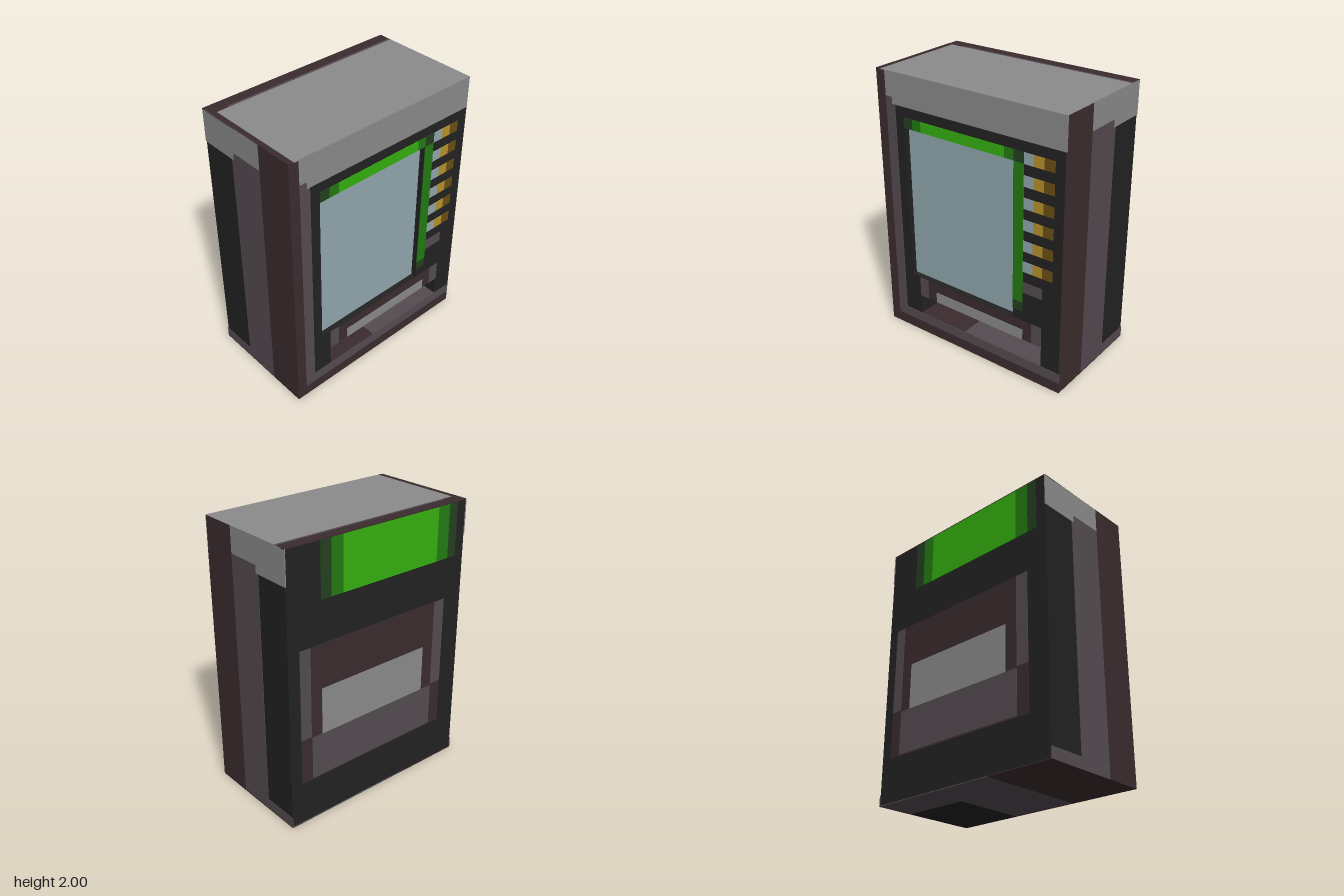
import * as THREE from 'three';

const paint = (name, color) => {
  const m = new THREE.MeshStandardMaterial({ color });
  m.name = name;
  return m;
};

export function createModel() {
  const black = paint('black', 0x222222);
  const brown = paint('darkBrown', 0x3b2c2e);
  const mauve = paint('mauveGrey', 0x544b50);
  const grey = paint('grey', 0x8b8b8b);
  const green = paint('brightGreen', 0x35b00f);
  const midGreen = paint('midGreen', 0x237a12);
  const darkGreen = paint('darkGreen', 0x23401f);
  const glass = paint('paleBlue', 0x92a8ae);
  const gold = paint('gold', 0xb8922a);
  const darkGold = paint('darkGold', 0x6a5012);

  const W = 0.77, H = 2, D = 0.42, T = 0.004; // half width, height, half depth, plate thickness
  const model = new THREE.Group();
  model.name = 'vendingMachine';

  const group = (name) => {
    const g = new THREE.Group();
    g.name = name;
    model.add(g);
    return g;
  };
  const box = (parent, name, mat, x0, x1, y0, y1, z0, z1) => {
    const m = new THREE.Mesh(new THREE.BoxGeometry(x1 - x0, y1 - y0, z1 - z0), mat);
    m.position.set((x0 + x1) / 2, (y0 + y1) / 2, (z0 + z1) / 2);
    m.name = name;
    parent.add(m);
    return m;
  };
  // Thin painted plates on the front and back
  const front = (p, name, mat, x0, x1, y0, y1) => box(p, name, mat, x0, x1, y0, y1, D - T - 0.002, D);
  const back = (p, name, mat, x0, x1, y0, y1, lift = 0) => box(p, name, mat, x0, x1, y0, y1, -D - lift, -D + T + 0.002);

  // Cabinet: solid rear half, front half cut for the display and the tray
  const cabinet = group('cabinet');
  const zMid = -0.04;
  box(cabinet, 'rearBody', black, -W + T, W - T, T, H - T, -D + T, zMid);
  const rect = (P, x0, x1, y0, y1) => {
    const p = new P();
    p.moveTo(x0, y0);
    p.lineTo(x1, y0);
    p.lineTo(x1, y1);
    p.lineTo(x0, y1);
    p.closePath();
    return p;
  };
  const outline = rect(THREE.Shape, -W + T, W - T, T, H - T);
  outline.holes.push(rect(THREE.Path, -0.54, 0.38, 0.468, 1.62), rect(THREE.Path, -0.465, 0.615, 0.155, 0.464));
  const shell = new THREE.Mesh(new THREE.ExtrudeGeometry(outline, { depth: D - T - zMid, bevelEnabled: false }), black);
  shell.position.z = zMid;
  shell.name = 'frontBody';
  cabinet.add(shell);

  // Front frame
  const frame = group('frontFrame');
  front(frame, 'frameSide', brown, -W, -0.695, 0, H);
  front(frame, 'frameBottom', brown, -0.695, W, 0, 0.08);
  front(frame, 'innerFrameSide', mauve, -0.695, -0.615, 0.08, 1.77);
  front(frame, 'innerFrameCorner', mauve, -0.695, -0.64, 1.77, 1.82);
  front(frame, 'innerFrameBottom', mauve, -0.615, W, 0.08, 0.155);
  front(frame, 'frontSign', grey, -0.64, W, 1.77, H);
  front(frame, 'frontSignEnd', grey, -0.695, -0.64, 1.82, H);

  // Recessed display with its green surround
  const display = group('display');
  box(display, 'displayGlass', glass, -0.54, 0.38, 0.468, 1.62, zMid, D - 0.045);
  [[darkGreen, -0.54, -0.465], [midGreen, -0.465, -0.39], [green, -0.39, 0.31], [midGreen, 0.31, 0.38], [darkGreen, 0.38, 0.46]]
    .forEach(([mat, x0, x1]) => front(display, 'displayTopLight', mat, x0, x1, 1.62, 1.695));
  front(display, 'displaySideLight', midGreen, 0.38, 0.46, 0.61, 1.62);
  front(display, 'displaySideLightEnd', darkGreen, 0.38, 0.46, 0.54, 0.61);

  // Column of selector buttons
  const buttons = group('buttons');
  for (let i = 0; i < 6; i++) {
    const y = 0.85 + i * 0.1535;
    [[glass, 0.46], [gold, 0.537], [darkGold, 0.614]]
      .forEach(([mat, x]) => front(buttons, 'button', mat, x, x + 0.077, y, y + 0.077));
  }
  front(buttons, 'coinSlot', mauve, 0.46, 0.615, 0.69, 0.77);

  // Pickup tray: flap above an open recess
  const tray = group('tray');
  box(tray, 'flap', brown, -0.465, 0.615, 0.31, 0.465, D - 0.04, D - T);
  front(tray, 'flapSide', mauve, -0.465, -0.39, 0.31, 0.464);
  front(tray, 'flapSide', mauve, 0.535, 0.615, 0.31, 0.464);
  front(tray, 'flapHandle', grey, -0.31, 0.46, 0.31, 0.39);
  box(tray, 'trayFloor', brown, -0.465, -0.05, 0.15, 0.158, zMid, D - T);
  box(tray, 'trayFloorInset', mauve, -0.05, 0.615, 0.15, 0.158, zMid, D - T);
  box(tray, 'trayBack', brown, -0.465, 0.615, 0.225, 0.464, zMid - 0.002, zMid + T);
  box(tray, 'trayBackInset', mauve, -0.39, 0.535, 0.235, 0.464, zMid, zMid + 0.008);

  // Side bands, mirrored
  for (const s of [-1, 1]) {
    const side = group(s > 0 ? 'leftSide' : 'rightSide');
    const plate = (name, mat, y0, y1, z0, z1) => {
      const a = s * (W - T - 0.002), b = s * W;
      box(side, name, mat, Math.min(a, b), Math.max(a, b), y0, y1, z0, z1);
    };
    plate('frontBand', brown, 0, H, 0.14, D - 0.001);
    plate('middleBand', mauve, 0, 1.815, -0.12, 0.14);
    plate('middleBandEdge', mauve, 0, 1.76, -0.14, -0.12);
    plate('rearSill', mauve, 0, 0.08, -D, -0.14);
    plate('sideSign', grey, 1.815, H, -0.12, 0.14);
    plate('sideSignRear', grey, 1.76, H, -D, -0.12);
  }

  // Top
  const top = group('top');
  const lid = (name, mat, x0, x1, z0, z1) => box(top, name, mat, x0, x1, H - T - 0.002, H + 0.0005, z0, z1);
  lid('lid', grey, -0.73, W, -0.32, D);
  lid('lidRearTrim', brown, -W, W, -D, -0.338);
  lid('lidTrimLine', mauve, -0.64, W, -0.338, -0.32);
  lid('lidTrimLineEnd', brown, -0.73, -0.64, -0.338, -0.32);
  lid('lidSideTrim', brown, -W, -0.73, -0.338, D);

  // Underside
  const base = group('underside');
  const under = (name, mat, x0, x1, z0, z1) => box(base, name, mat, x0, x1, -0.0005, T + 0.002, z0, z1);
  under('baseBand', brown, -W, -0.257, -D, D);
  under('baseMiddle', mauve, -0.257, 0.257, -D, D);
  under('baseRear', mauve, 0.257, W, -D, -0.14);
  under('basePad', black, 0.257, W, -0.14, D);

  // Back lamp and service panel
  const rear = group('rearPanel');
  [[darkGreen, 0.42, 0.505], [midGreen, 0.325, 0.42], [green, -0.505, 0.325], [midGreen, -0.61, -0.505], [darkGreen, -0.685, -0.61]]
    .forEach(([mat, x0, x1]) => back(rear, 'rearLamp', mat, x0, x1, 1.61, H - T));
  back(rear, 'servicePanel', brown, -0.6, 0.68, 0.32, 1.31);
  back(rear, 'panelSide', mauve, 0.595, 0.68, 0.66, 1.31, 0.002);
  back(rear, 'panelSide', mauve, -0.6, -0.505, 0.66, 1.31, 0.002);
  back(rear, 'panelVent', grey, -0.41, 0.505, 0.65, 0.99, 0.002);
  back(rear, 'panelSill', mauve, -0.505, 0.59, 0.33, 0.65, 0.002);

  return model;
}
